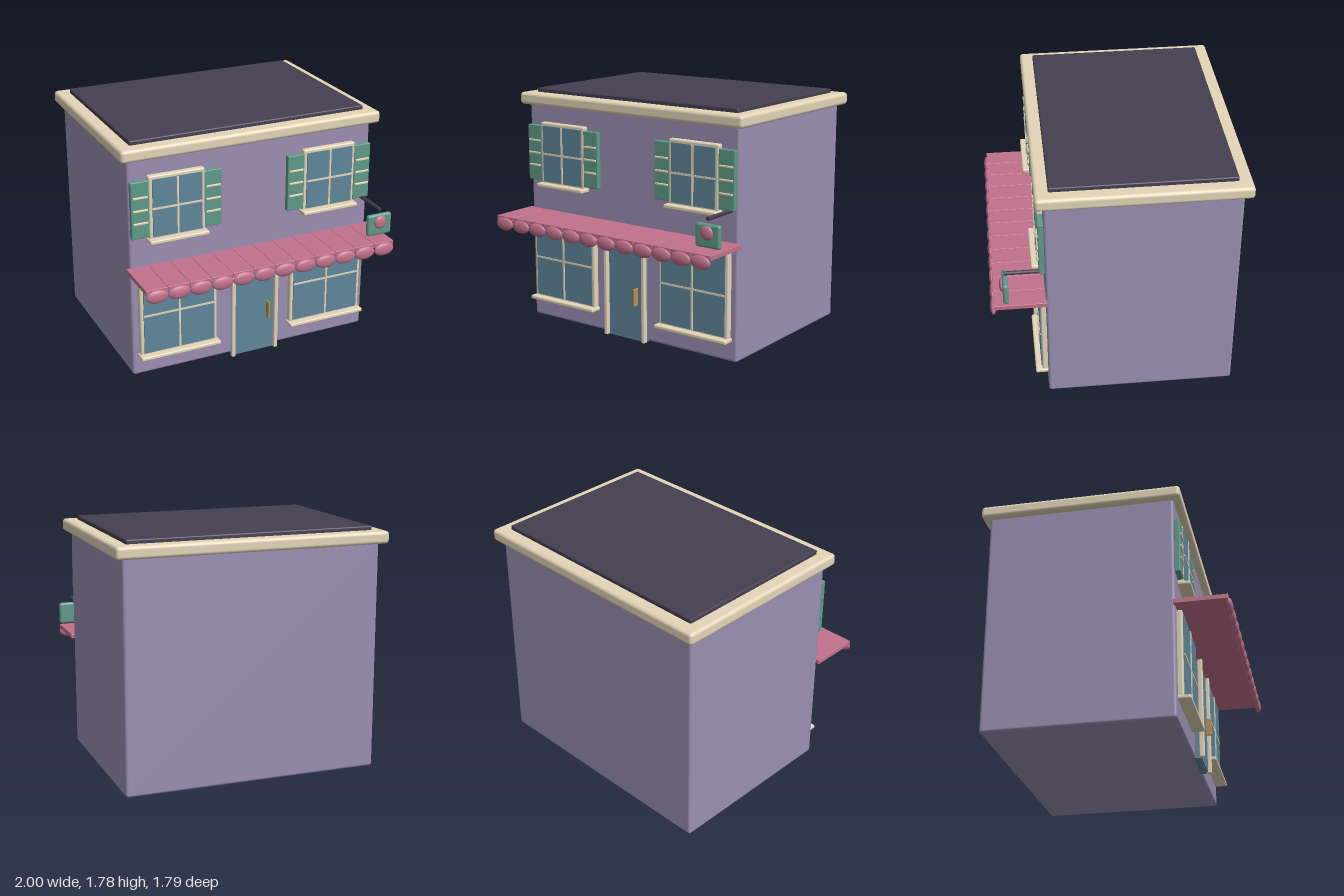
import * as THREE from 'three';
import { RoundedBoxGeometry } from 'three/addons/geometries/RoundedBoxGeometry.js';

const paint = (color) => new THREE.MeshStandardMaterial({ color });

export function createModel() {
  const wall = paint(0x9a8fb2), cream = paint(0xe3d5b8), dark = paint(0x453f50);
  const pink = paint(0xc2718c), glass = paint(0x5f8699), green = paint(0x5f9a88), brass = paint(0xb98f4c);
  const model = new THREE.Group();
  model.name = 'shopHouse';

  // Box given by its limits on each axis; a radius rounds the edges
  function box(parent, name, mat, [x0, x1], [y0, y1], [z0, z1], r = 0) {
    const w = x1 - x0, h = y1 - y0, d = z1 - z0;
    const geo = r ? new RoundedBoxGeometry(w, h, d, 3, r) : new THREE.BoxGeometry(w, h, d);
    const mesh = new THREE.Mesh(geo, mat);
    mesh.name = name;
    mesh.position.set((x0 + x1) / 2, (y0 + y1) / 2, (z0 + z1) / 2);
    parent.add(mesh);
    return mesh;
  }
  function ellipsoid(parent, name, mat, pos, scale) {
    const mesh = new THREE.Mesh(new THREE.SphereGeometry(1, 24, 16), mat);
    mesh.name = name;
    mesh.position.set(...pos);
    mesh.scale.set(...scale);
    parent.add(mesh);
  }
  function group(name) {
    const g = new THREE.Group();
    g.name = name;
    model.add(g);
    return g;
  }
  const span = (c, size) => [c - size / 2, c + size / 2];

  // Building shell
  box(model, 'walls', wall, [-0.945, 0.945], [0, 1.69], [-0.84, 0.51], 0.02);
  box(model, 'cornice', cream, [-1, 1], [1.66, 1.75], [-0.895, 0.565], 0.025);
  box(model, 'roof', dark, [-0.905, 0.905], [1.73, 1.78], [-0.8, 0.47], 0.01);

  // Window with frame, pane, glazing bars and sill, centred on x, y
  function makeWindow(name, x, y, w, h) {
    const g = group(name);
    box(g, 'frame', cream, span(x, w + 0.05), span(y, h + 0.05), [0.5, 0.55], 0.012);
    box(g, 'pane', glass, span(x, w), span(y, h), [0.52, 0.557]);
    box(g, 'verticalBar', cream, span(x, 0.014), span(y, h), [0.53, 0.564]);
    box(g, 'horizontalBar', cream, span(x, w), span(y, 0.014), [0.53, 0.562]);
    const bottom = y - h / 2 - 0.01;
    box(g, 'sill', cream, span(x, w + 0.075), [bottom - 0.03, bottom], [0.505, 0.6], 0.01);
    return g;
  }
  for (const [side, s] of [['left', 1], ['right', -1]]) {
    makeWindow(side + 'ShopWindow', s * 0.597, 0.487, 0.545, 0.6);
    const upper = makeWindow(side + 'UpperWindow', s * 0.596, 1.3, 0.37, 0.425);
    // Shutters with three slats
    for (const t of [-1, 1]) {
      const x = s * 0.598 + t * 0.272;
      box(upper, 'shutter', green, span(x, 0.132), [1.09, 1.51], [0.51, 0.55], 0.006);
      for (const y of [1.205, 1.3, 1.395])
        box(upper, 'shutterSlat', cream, span(x, 0.11), span(y, 0.015), [0.54, 0.56], 0.004);
    }
  }

  // Door
  const door = group('door');
  box(door, 'doorSurround', glass, [-0.17, 0.17], [0, 0.755], [0.5, 0.545]);
  box(door, 'doorLeaf', glass, [-0.153, 0.15], [0.004, 0.75], [0.52, 0.555]);
  for (const x of [-0.175, 0.172])
    box(door, 'doorPost', cream, span(x, 0.03), [0, 0.76], [0.542, 0.58], 0.008);
  box(door, 'doorHandle', brass, [0.097, 0.112], [0.272, 0.405], [0.55, 0.597], 0.005);

  // Awning of twelve boards, each ending in a scallop
  const awning = group('awning');
  const step = 1.94 / 12;
  for (let i = 0; i < 12; i++) {
    const x = (i - 5.5) * step;
    box(awning, 'awningBoard', pink, span(x, step - 0.001), [0.825, 0.86], [0.5, 0.875], 0.004);
    ellipsoid(awning, 'scallop', pink, [x, 0.804, 0.877], [0.081, 0.049, 0.022]);
  }

  // Hanging sign
  const sign = group('sign');
  const bracket = new THREE.Mesh(new THREE.CylinderGeometry(0.014, 0.014, 0.29, 16), dark);
  bracket.name = 'signBracket';
  bracket.rotation.x = Math.PI / 2;
  bracket.position.set(0.89, 1.086, 0.65);
  sign.add(bracket);
  box(sign, 'signBoard', green, [0.791, 0.99], [0.885, 1.05], [0.765, 0.805], 0.018);
  ellipsoid(sign, 'signBoss', pink, [0.89, 0.99, 0.808], [0.05, 0.05, 0.02]);

  return model;
}
